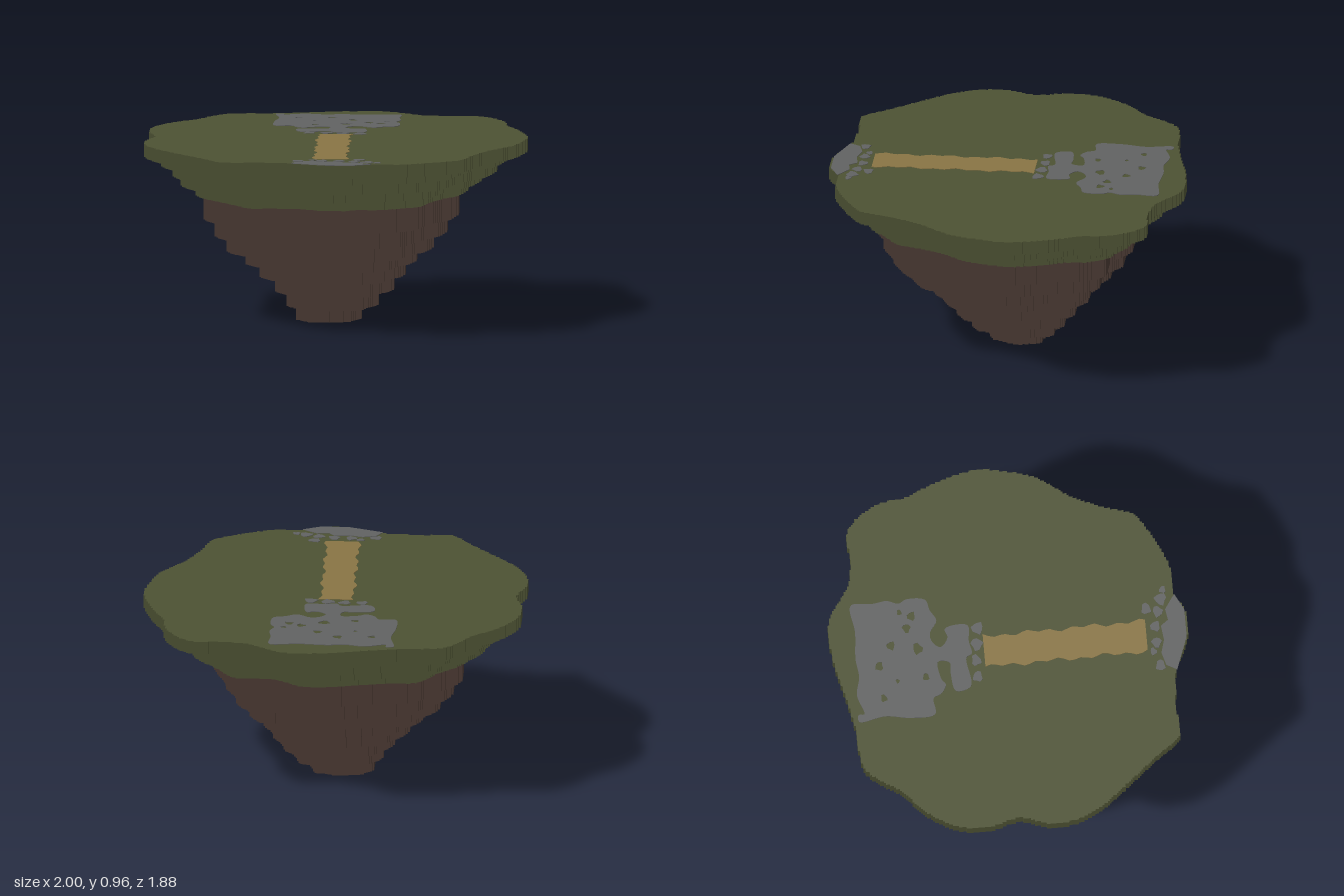
import * as THREE from 'three';

const GRID = 0.01;
const TOP = 0.96;

const material = (name, color) => {
  const m = new THREE.MeshStandardMaterial({ color });
  m.name = name;
  return m;
};

// Smooth closed curve through [x, z] points
function smoothLoop(points, samples) {
  const curve = new THREE.CatmullRomCurve3(
    points.map(([x, z]) => new THREE.Vector3(x, 0, z)), true, 'centripetal');
  return curve.getSpacedPoints(samples).slice(0, -1).map(p => [p.x, p.z]);
}

// Snap a dense loop to a grid so its walls become small square steps
function stepped(loop, grid) {
  const out = [];
  const snap = v => Math.round(v / grid) * grid;
  let [px, pz] = loop[loop.length - 1].map(snap);
  for (const point of loop) {
    const [x, z] = point.map(snap);
    if (x === px && z === pz) continue;
    if (x !== px && z !== pz) out.push(new THREE.Vector2(x, pz));
    out.push(new THREE.Vector2(x, z));
    px = x;
    pz = z;
  }
  return out;
}

// Horizontal slab between y0 and y1 with an outline in x and z
function slab(name, shape, y0, y1, mat) {
  const g = new THREE.ExtrudeGeometry(shape, { depth: y1 - y0, bevelEnabled: false });
  g.rotateX(Math.PI / 2).translate(0, y1, 0);
  const mesh = new THREE.Mesh(g, mat);
  mesh.name = name;
  return mesh;
}

// Slightly irregular round pebble outline
function pebble([x, z, r], i) {
  return Array.from({ length: 9 }, (_, k) => {
    const a = k / 9 * Math.PI * 2;
    const d = r * (1 + 0.22 * Math.sin(k * 2.3 + i * 1.7));
    return new THREE.Vector2(x + d * Math.cos(a), z + d * 0.85 * Math.sin(a));
  });
}

const rim = [
  [0.02, -0.94], [0.22, -0.94], [0.42, -0.82], [0.55, -0.80], [0.71, -0.80], [0.80, -0.72],
  [0.86, -0.60], [0.87, -0.50], [0.93, -0.35], [0.98, -0.20], [1, -0.08], [0.98, 0.05],
  [0.93, 0.22], [0.82, 0.38], [0.74, 0.55], [0.68, 0.72], [0.58, 0.79], [0.38, 0.88],
  [0.22, 0.89], [0.13, 0.94], [-0.02, 0.94], [-0.18, 0.87], [-0.40, 0.85], [-0.57, 0.85],
  [-0.66, 0.74], [-0.80, 0.57], [-0.92, 0.42], [-0.99, 0.27], [-1, 0.12], [-0.96, 0],
  [-0.96, -0.07], [-0.99, -0.18], [-0.98, -0.35], [-0.89, -0.51], [-0.75, -0.65],
  [-0.68, -0.76], [-0.60, -0.83], [-0.40, -0.85], [-0.20, -0.89],
];

// Each tier: bottom y, min x, max x, min z, max z, from the top down
const tiers = [
  [0.89, -1, 1, -0.94, 0.94],
  [0.84, -0.915, 0.89, -0.86, 0.84],
  [0.785, -0.85, 0.84, -0.82, 0.82],
  [0.735, -0.81, 0.76, -0.765, 0.765],
  [0.685, -0.735, 0.69, -0.71, 0.715],
  [0.555, -0.69, 0.64, -0.665, 0.685],
  [0.465, -0.635, 0.58, -0.615, 0.63],
  [0.38, -0.57, 0.505, -0.54, 0.545],
  [0.31, -0.475, 0.42, -0.475, 0.44],
  [0.235, -0.40, 0.36, -0.425, 0.365],
  [0.155, -0.32, 0.30, -0.355, 0.29],
  [0.075, -0.26, 0.22, -0.29, 0.21],
  [0, -0.215, 0.13, -0.205, 0.115],
];
const GRASS_TIERS = 5;

const ruin = [
  [-0.35, -0.82], [-0.31, -0.82], [-0.31, -0.79], [-0.20, -0.82], [-0.10, -0.80], [0, -0.81],
  [0.15, -0.80], [0.30, -0.81], [0.30, -0.70], [0.31, -0.62], [0.29, -0.56], [0.31, -0.52],
  [0.30, -0.42], [0.24, -0.40], [0.18, -0.37], [0.11, -0.41], [0.06, -0.40], [0.03, -0.36],
  [0.08, -0.32], [0.13, -0.33], [0.14, -0.21], [0.05, -0.21], [-0.02, -0.20], [-0.04, -0.23],
  [-0.20, -0.22], [-0.22, -0.30], [-0.12, -0.32], [-0.06, -0.32], [-0.05, -0.38],
  [-0.15, -0.37], [-0.18, -0.35], [-0.23, -0.38], [-0.25, -0.42], [-0.34, -0.42],
  [-0.35, -0.55], [-0.33, -0.68],
];
const gaps = [
  [-0.05, -0.69, 0.025], [-0.23, -0.68, 0.02], [-0.14, -0.60, 0.012], [0.06, -0.62, 0.025],
  [-0.13, -0.45, 0.02], [0.03, -0.48, 0.03], [0.15, -0.53, 0.025], [0.215, -0.50, 0.025],
  [0.24, -0.56, 0.015],
];
const landing = [
  [-0.20, 0.865], [-0.17, 0.81], [-0.10, 0.79], [-0.03, 0.81], [0.05, 0.80], [0.08, 0.84],
  [0.14, 0.83], [0.20, 0.87], [0.22, 0.885], [0.13, 0.93], [-0.02, 0.93],
];
const pebbles = [
  [-0.15, -0.18, 0.03], [-0.06, -0.18, 0.03], [0.03, -0.17, 0.035], [0.12, -0.16, 0.035],
  [-0.17, 0.78, 0.03], [-0.09, 0.75, 0.02], [-0.04, 0.77, 0.03], [0.05, 0.77, 0.03],
  [0.15, 0.73, 0.03], [0.13, 0.79, 0.03], [0.20, 0.81, 0.035], [0.25, 0.825, 0.02],
];

export function createModel() {
  const model = new THREE.Group();
  model.name = 'floatingIsland';
  const grass = material('grass', 0x4d5233);
  const dirt = material('dirt', 0x4b3a33);
  const stone = material('stone', 0x616262);
  const sand = material('sand', 0x887444);

  // Stepped tiers of the island, each the rim fitted to its own extent
  const loop = smoothLoop(rim, 1500);
  const range = k => {
    const v = loop.map(p => p[k]);
    return [Math.min(...v), Math.max(...v)];
  };
  const [rx, rz] = [range(0), range(1)];
  let top = TOP;
  tiers.forEach(([bottom, x0, x1, z0, z1], i) => {
    const fitted = loop.map(([x, z]) => [
      THREE.MathUtils.mapLinear(x, ...rx, x0, x1),
      THREE.MathUtils.mapLinear(z, ...rz, z0, z1),
    ]);
    const isGrass = i < GRASS_TIERS;
    const shape = new THREE.Shape(stepped(fitted, GRID));
    model.add(slab((isGrass ? 'grassTier' : 'dirtTier') + (i + 1), shape, bottom, top, isGrass ? grass : dirt));
    top = bottom;
  });

  // Flat ground markings on the top
  const plate = (name, shape, mat) => model.add(slab(name, shape, TOP, TOP + 0.003, mat));
  const ruinShape = new THREE.Shape(smoothLoop(ruin, 300).map(p => new THREE.Vector2(...p)));
  ruinShape.holes = gaps.map((g, i) => new THREE.Path(pebble(g, i)));
  plate('stoneFloor', ruinShape, stone);
  plate('stoneLanding', new THREE.Shape(landing.map(p => new THREE.Vector2(...p))), stone);
  pebbles.forEach((p, i) => plate('looseStone' + (i + 1), new THREE.Shape(pebble(p, i)), stone));

  // Sandy path with wavy sides
  const side = (x, phase) => Array.from({ length: 30 }, (_, i) => {
    const t = i / 29;
    const sway = 0.008 * Math.sin(t * 45 + phase) + 0.006 * Math.sin(t * 19 + phase);
    return new THREE.Vector2(x + 0.015 * t + sway, -0.135 + 0.855 * t);
  });
  plate('sandPath', new THREE.Shape([...side(-0.1, 0), ...side(0.07, 2).reverse()]), sand);

  return model;
}
